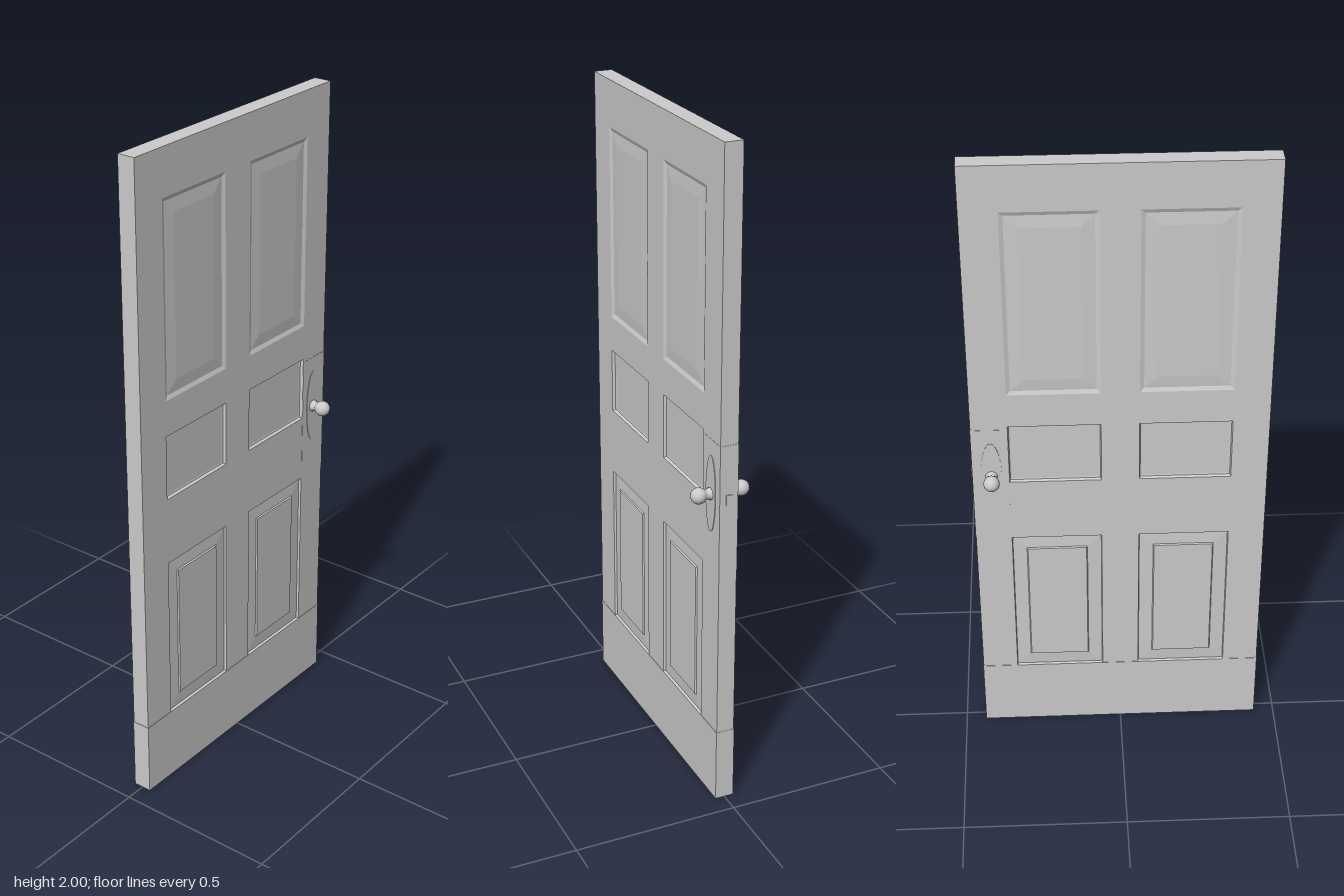
import * as THREE from 'three';

const W = 0.872, H = 2, FACE = 0.0275;
const mat = new THREE.MeshStandardMaterial({ color: 0xcccccc });
const flat = new THREE.MeshStandardMaterial({ color: 0xcccccc, flatShading: true });

function add(parent, name, geometry, material = flat) {
  const mesh = new THREE.Mesh(geometry, material);
  mesh.name = name;
  parent.add(mesh);
  return mesh;
}

// Rectangular relief: nested rings of [inset, z], closed by a flat field.
function reliefPanel(w, h, rings) {
  const pos = [], index = [];
  for (const [inset, z] of rings) {
    const x = w / 2 - inset, y = h / 2 - inset;
    pos.push(-x, -y, z, x, -y, z, x, y, z, -x, y, z);
  }
  for (let r = 0; r < rings.length - 1; r++) {
    for (let i = 0; i < 4; i++) {
      const a = r * 4 + i, b = r * 4 + (i + 1) % 4;
      index.push(a, b, b + 4, a, b + 4, a + 4);
    }
  }
  const f = (rings.length - 1) * 4;
  index.push(f, f + 1, f + 2, f, f + 2, f + 3);
  const g = new THREE.BufferGeometry();
  g.setAttribute('position', new THREE.Float32BufferAttribute(pos, 3));
  g.setIndex(index);
  const out = g.toNonIndexed();
  out.computeVertexNormals();
  return out;
}

function rectangle(Type, x0, y0, x1, y1) {
  return new Type([[x0, y0], [x1, y0], [x1, y1], [x0, y1]].map(p => new THREE.Vector2(...p)));
}

export function createModel() {
  const door = new THREE.Group();
  door.name = 'door';

  // Panel rows: bottom, top and relief profile
  const px = 0.192, pw = 0.272;
  const rows = [
    { name: 'upperPanel', y0: 1.27, y1: 1.86,
      rings: [[0, FACE], [0.012, FACE - 0.005], [0.05, FACE - 0.002]] },
    { name: 'middlePanel', y0: 0.96, y1: 1.16,
      rings: [[0, FACE], [0.003, FACE - 0.009], [0.008, FACE - 0.01]] },
    { name: 'lowerPanel', y0: 0.23, y1: 0.75,
      rings: [[0, FACE], [0.002, FACE - 0.007], [0.044, FACE - 0.005], [0.047, FACE - 0.001]] },
  ];

  // Stiles and rails: one slab pierced by the six panel openings
  const outline = rectangle(THREE.Shape, -W / 2, 0, W / 2, H);
  for (const { y0, y1 } of rows) {
    for (const s of [-1, 1]) {
      outline.holes.push(rectangle(THREE.Path, s * px - pw / 2, y0, s * px + pw / 2, y1));
    }
  }
  const frame = new THREE.ExtrudeGeometry(outline, { depth: FACE * 2, bevelEnabled: false });
  add(door, 'stilesAndRails', frame.translate(0, 0, -FACE));

  // Panels on both faces
  for (const turn of [0, Math.PI]) {
    const side = new THREE.Group();
    side.name = turn ? 'backPanels' : 'frontPanels';
    side.rotation.y = turn;
    door.add(side);
    for (const { name, y0, y1, rings } of rows) {
      for (const s of [-1, 1]) {
        add(side, name, reliefPanel(pw, y1 - y0, rings)).position.set(s * px, (y0 + y1) / 2, 0);
      }
    }
  }

  // Kick plate and lock plate wrap round the slab
  add(door, 'kickPlate', new THREE.BoxGeometry(0.874, 0.23, 0.0575)).position.y = 0.115;
  add(door, 'lockPlate', new THREE.BoxGeometry(0.108, 0.39, 0.0565)).position.set(0.383, 0.955, 0);
  add(door, 'latch', new THREE.BoxGeometry(0.006, 0.03, 0.018)).position.set(0.437, 0.985, 0);

  // Knob, neck and oval backplate on each face
  const profile = [[0.018, 0.028], [0.018, 0.034], [0.015, 0.036], [0.015, 0.046]]
    .map(p => new THREE.Vector2(...p));
  for (let i = 0; i <= 8; i++) {
    const a = -0.9 + (i / 8) * (Math.PI / 2 + 0.9);
    profile.push(new THREE.Vector2(Math.max(0, 0.024 * Math.cos(a)), 0.066 + 0.024 * Math.sin(a)));
  }
  const oval = new THREE.Shape();
  oval.absellipse(0, 0, 0.031, 0.118, 0, Math.PI * 2);
  for (const turn of [0, Math.PI]) {
    const set = new THREE.Group();
    set.name = turn ? 'backHandle' : 'frontHandle';
    set.position.set(0.38, 0.985, 0);
    set.rotation.y = turn;
    door.add(set);
    add(set, 'knob', new THREE.LatheGeometry(profile, 20).rotateX(Math.PI / 2), mat);
    const plate = new THREE.ExtrudeGeometry(oval, { depth: 0.003, bevelEnabled: false, curveSegments: 12 });
    add(set, 'backplate', plate.translate(0, 0, 0.027));
  }
  return door;
}
